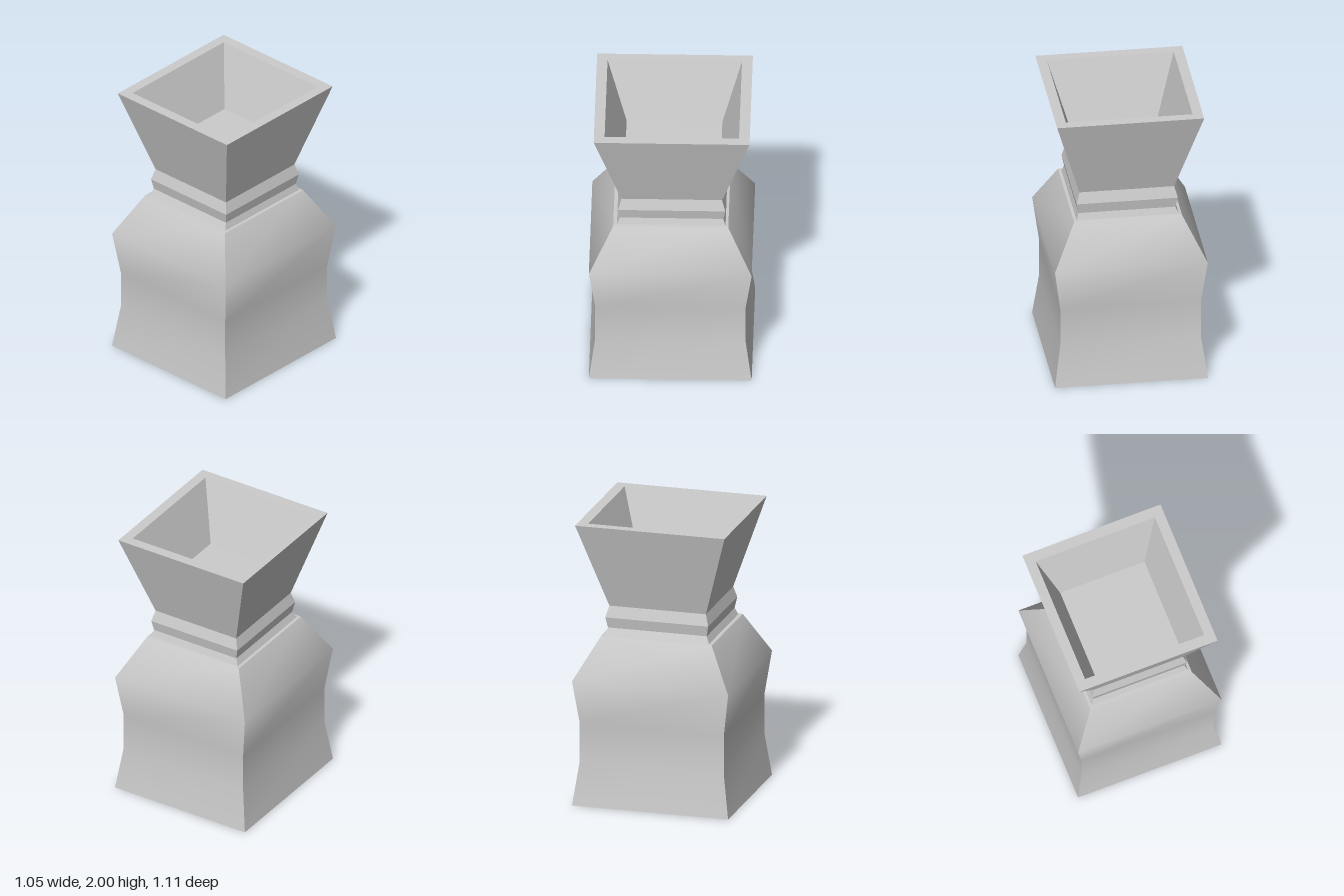
import * as THREE from 'three';
import { toCreasedNormals } from 'three/addons/utils/BufferGeometryUtils.js';

// Rectangular cross-section: height, half width, half depth, centre x, centre z
const ring = (y, hx, hz, cx = 0, cz = 0) => [
  [cx - hx, y, cz + hz], [cx + hx, y, cz + hz],
  [cx + hx, y, cz - hz], [cx - hx, y, cz - hz],
];

// Skins consecutive cross-sections, with optional end caps
function loft(name, rings, { crease = 0.05, bottom = false, top = false } = {}) {
  const pos = [];
  const quad = (a, b, c, d) => pos.push(...a, ...b, ...c, ...a, ...c, ...d);
  for (let k = 0; k < rings.length - 1; k++) {
    const [p, q] = [rings[k], rings[k + 1]];
    for (let i = 0; i < 4; i++) {
      const j = (i + 1) % 4;
      quad(p[i], p[j], q[j], q[i]);
    }
  }
  if (bottom) quad(...[...rings[0]].reverse());
  if (top) quad(...rings[rings.length - 1]);
  const geo = new THREE.BufferGeometry();
  geo.setAttribute('position', new THREE.Float32BufferAttribute(pos, 3));
  const mesh = new THREE.Mesh(
    toCreasedNormals(geo, crease),
    new THREE.MeshStandardMaterial({ color: 0xcccccc }),
  );
  mesh.name = name;
  return mesh;
}

export function createModel() {
  const group = new THREE.Group();
  group.name = 'squareVase';

  // Waisted body: smooth up each side, sharp at the corners
  group.add(loft('body', [
    ring(0, 0.527, 0.556),
    ring(0.31, 0.485, 0.513),
    ring(0.58, 0.485, 0.513),
    ring(0.89, 0.527, 0.556),
    ring(1.185, 0.372, 0.393),
  ], { crease: 0.75, bottom: true }));

  // Shoulder ledge and faceted neck band
  const cx = 0.003, cz = -0.006;
  group.add(loft('neck', [
    ring(1.185, 0.372, 0.393),
    ring(1.187, 0.352, 0.371, 0, -0.003),
    ring(1.235, 0.334, 0.352, cx, cz),
    ring(1.31, 0.349, 0.366, cx, cz),
    ring(1.39, 0.327, 0.344, cx, cz),
  ]));

  // Flared mouth with flat rim and tapered hollow
  group.add(loft('mouth', [
    ring(1.39, 0.327, 0.344, cx, cz),
    ring(2, 0.507, 0.532, cx, -0.009),
    ring(2, 0.437, 0.459, cx, -0.009),
    ring(1.58, 0.309, 0.327, cx, -0.01),
  ], { top: true }));

  return group;
}
